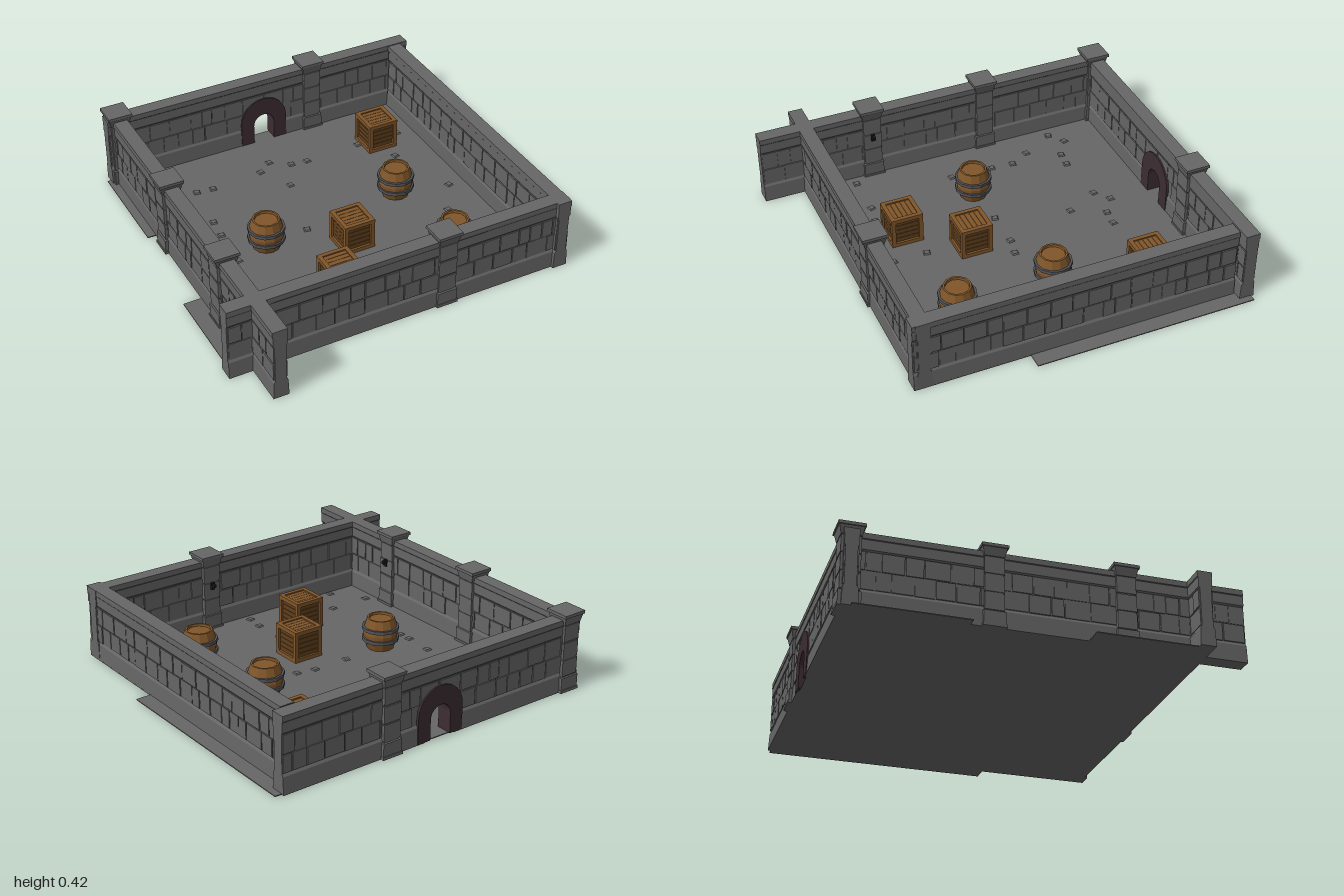
import * as THREE from 'three';
import { mergeGeometries } from 'three/addons/utils/BufferGeometryUtils.js';

const mat = (name, color) => {
  const m = new THREE.MeshStandardMaterial({ color });
  m.name = name;
  return m;
};

// Small seeded random generator
let seed = 7;
const rnd = (a = 0, b = 1) => {
  seed = (seed * 16807) % 2147483647;
  return a + (b - a) * (seed / 2147483647);
};

// Faceted copy of a geometry
const flat = (g) => {
  const f = g.index ? g.toNonIndexed() : g;
  f.computeVertexNormals();
  return f;
};
const box = (w, h, d, x, y, z) => flat(new THREE.BoxGeometry(w, h, d).translate(x, y, z));
const mesh = (name, geos, material) => {
  const m = new THREE.Mesh(mergeGeometries(geos), material);
  m.name = name;
  return m;
};

export function createModel() {
  const stone = mat('grey stone', 0x666666);
  const wood = mat('brown wood', 0x80562a);
  const darkWood = mat('dark wood', 0x5f3f1c);
  const iron = mat('iron', 0x505358);
  const archStone = mat('dark purple stone', 0x3d2d33);
  const black = mat('black iron', 0x1c1c1c);

  const root = new THREE.Group();
  root.name = 'dungeonRoom';

  // Floor with stepped edges
  const outline = [[-0.87, -0.97], [0.96, -0.96], [0.96, 0.21], [0.88, 0.21], [0.88, 0.78],
    [-0.94, 0.78], [-0.94, 0.2], [-0.84, 0.2], [-0.84, -0.37], [-0.89, -0.37], [-0.89, -0.93], [-0.87, -0.93]];
  const floorShape = new THREE.Shape(outline.map(([x, z]) => new THREE.Vector2(x, -z)));
  const floorGeo = new THREE.ExtrudeGeometry(floorShape, { depth: 0.005, bevelEnabled: false });
  root.add(mesh('floor', [flat(floorGeo.rotateX(-Math.PI / 2))], stone));

  // Low stones set in the floor
  const spots = [[-0.7, -0.62], [-0.62, -0.68], [-0.51, -0.61], [-0.42, -0.6], [-0.13, -0.62], [-0.05, -0.68],
    [0.05, -0.61], [0.14, -0.6], [0.46, -0.61], [0.71, -0.61], [-0.6, -0.44], [-0.04, -0.44], [0.59, -0.42],
    [-0.54, -0.33], [-0.55, -0.21], [-0.56, -0.05], [-0.56, 0.02], [-0.14, -0.05], [0.06, -0.05], [0.16, -0.03],
    [0.71, -0.05], [0.59, 0.14], [-0.02, 0.38], [-0.71, 0.51], [-0.48, 0.51], [-0.37, 0.53], [-0.02, 0.56],
    [0.54, 0.57], [0.61, 0.46], [-0.03, 0.66], [0.53, 0.66], [-0.59, 0.68]];
  root.add(mesh('floorStones', spots.map(([x, z]) => {
    const g = new THREE.CylinderGeometry(0.018, 0.026, 0.008, 4).rotateY(Math.PI / 4 + rnd(-0.3, 0.3));
    return flat(g.translate(x, 0.008, z));
  }), stone));

  // Wall section: half thickness and height
  const section = [[0.04, 0], [0.036, 0.09], [0.029, 0.102], [0.029, 0.298], [0.035, 0.306],
    [0.035, 0.357], [0.038, 0.361], [0.038, 0.39]];
  const prism = (points, x0, x1) => {
    const half = points.map(([t, y]) => new THREE.Vector2(t, y));
    const other = points.map(([t, y]) => new THREE.Vector2(-t, y)).reverse();
    const g = new THREE.ExtrudeGeometry(new THREE.Shape([...half, ...other]), { depth: x1 - x0, bevelEnabled: false });
    return flat(g.translate(0, 0, x0).rotateY(Math.PI / 2));
  };

  // Wall along local x with two courses of uneven bricks and an optional doorway
  const wall = (name, x0, x1, door) => {
    const geos = [];
    if (door) {
      const [a, b] = door;
      geos.push(prism(section, x0, a), prism(section, b, x1));
      geos.push(prism([[0.029, 0.2], ...section.slice(3)], a, b));
    } else geos.push(prism(section, x0, x1));
    for (const row of [0, 1]) {
      let x = x0 + 0.003;
      while (x < x1 - 0.02) {
        const w = Math.min(rnd(0.06, 0.13), x1 - x);
        const blocked = door && row === 0 && x + w > door[0] && x < door[1];
        if (!blocked) {
          const h = rnd(0.088, 0.094);
          geos.push(box(w - 0.006, h, 2 * rnd(0.032, 0.036), x + w / 2, 0.152 + row * 0.097, 0));
        }
        x += w;
      }
    }
    const m = mesh(name, geos, stone);
    root.add(m);
    return m;
  };
  wall('frontWall', -0.965, 0.88).position.z = 0.745;
  wall('backWall', -0.87, 0.925, [-0.065, 0.115]).position.z = -0.935;
  for (const [name, x, z0, z1] of [['rightWall', -0.805, -0.97, 1.0], ['leftWall', 0.84, -0.89, 0.8]]) {
    const w = wall(name, -z1, -z0);
    w.rotation.y = Math.PI / 2;
    w.position.x = x;
  }

  // Arched doorway
  const arch = new THREE.Shape();
  arch.moveTo(0.135, 0);
  arch.lineTo(0.135, 0.135);
  arch.absarc(0, 0.135, 0.135, 0, Math.PI, false);
  arch.lineTo(-0.135, 0);
  arch.lineTo(-0.06, 0);
  arch.lineTo(-0.06, 0.11);
  arch.absarc(0, 0.11, 0.06, Math.PI, 0, true);
  arch.lineTo(0.06, 0);
  const archGeo = new THREE.ExtrudeGeometry(arch, { depth: 0.084, bevelEnabled: false, curveSegments: 6 });
  root.add(mesh('doorArch', [flat(archGeo.translate(0.025, 0.004, -0.977))], archStone));

  // Pillars of stacked blocks with wide caps
  const pillarGeos = () => {
    const geos = [box(0.088, 0.37, 0.088, 0, 0.19, 0), box(0.116, 0.016, 0.116, 0, 0.008, 0),
      box(0.108, 0.07, 0.108, 0, 0.045, 0), box(0.13, 0.016, 0.13, 0, 0.415, 0)];
    for (let i = 0; i < 3; i++) {
      const w = rnd(0.094, 0.1);
      geos.push(box(w, 0.085, w, 0, 0.13 + i * 0.093, 0));
    }
    const neck = new THREE.CylinderGeometry(0.12 / Math.SQRT2, 0.1 / Math.SQRT2, 0.045, 4).rotateY(Math.PI / 4);
    geos.push(flat(neck.translate(0, 0.385, 0)));
    return geos;
  };
  for (const [x, z] of [[-0.805, -0.935], [0.32, -0.935], [-0.805, -0.26], [-0.805, 0.39], [0.19, 0.74]]) {
    const p = mesh('pillar', pillarGeos(), stone);
    p.position.set(x, 0, z);
    root.add(p);
  }

  // Small wall brackets on two pillars
  for (const [x, z, turn] of [[-0.755, 0.39, Math.PI / 2], [0.19, 0.69, Math.PI]]) {
    const b = mesh('wallBracket', [box(0.02, 0.04, 0.012, 0, 0.25, 0.004), box(0.016, 0.016, 0.03, 0, 0.255, 0.012)], black);
    b.position.set(x, 0, z);
    b.rotation.y = turn;
    root.add(b);
  }

  // Crates: plank cube inside a frame of beams
  const frame = [];
  const S = 0.074;
  for (const a of [-S, S]) for (const b of [-S, S]) {
    frame.push(box(0.168, 0.022, 0.022, 0, 0.085 + a, b), box(0.022, 0.168, 0.022, a, 0.085, b),
      box(0.022, 0.022, 0.168, a, 0.085 + b, 0));
  }
  const sidePanels = [];
  const lid = [];
  for (let i = 0; i < 5; i++) {
    const o = (i - 2) * 0.026;
    sidePanels.push(box(0.146, 0.024, 0.146, 0, 0.085 + o, 0));
    lid.push(box(0.136, 0.006, 0.024, 0, 0.16, o));
  }
  for (const [x, z] of [[0.56, -0.585], [0.015, 0.15], [-0.21, 0.44]]) {
    const c = new THREE.Group();
    c.name = 'crate';
    c.add(mesh('crateFrame', frame, wood), mesh('cratePanels', sidePanels, darkWood), mesh('crateLid', lid, wood));
    c.position.set(x, 0.004, z);
    root.add(c);
  }

  // Barrels with recessed lids and two hoops
  const lathe = (pts) => flat(new THREE.LatheGeometry(pts.map(([r, y]) => new THREE.Vector2(r, y)), 12));
  const body = lathe([[0, 0], [0.07, 0], [0.086, 0.045], [0.092, 0.085], [0.086, 0.125], [0.072, 0.17],
    [0.062, 0.17], [0.06, 0.158], [0, 0.158]]);
  const hoop = (y, r) => lathe([[r - 0.015, y - 0.009], [r, y - 0.009], [r, y + 0.009], [r - 0.015, y + 0.009]]);
  const hoops = [hoop(0.055, 0.098), hoop(0.115, 0.098)];
  for (const [x, z] of [[-0.38, -0.03], [0.42, -0.12], [0.46, 0.41]]) {
    const b = new THREE.Group();
    b.name = 'barrel';
    b.add(mesh('barrelBody', [body], wood), mesh('barrelHoops', hoops, iron));
    b.position.set(x, 0.004, z);
    root.add(b);
  }
  return root;
}
